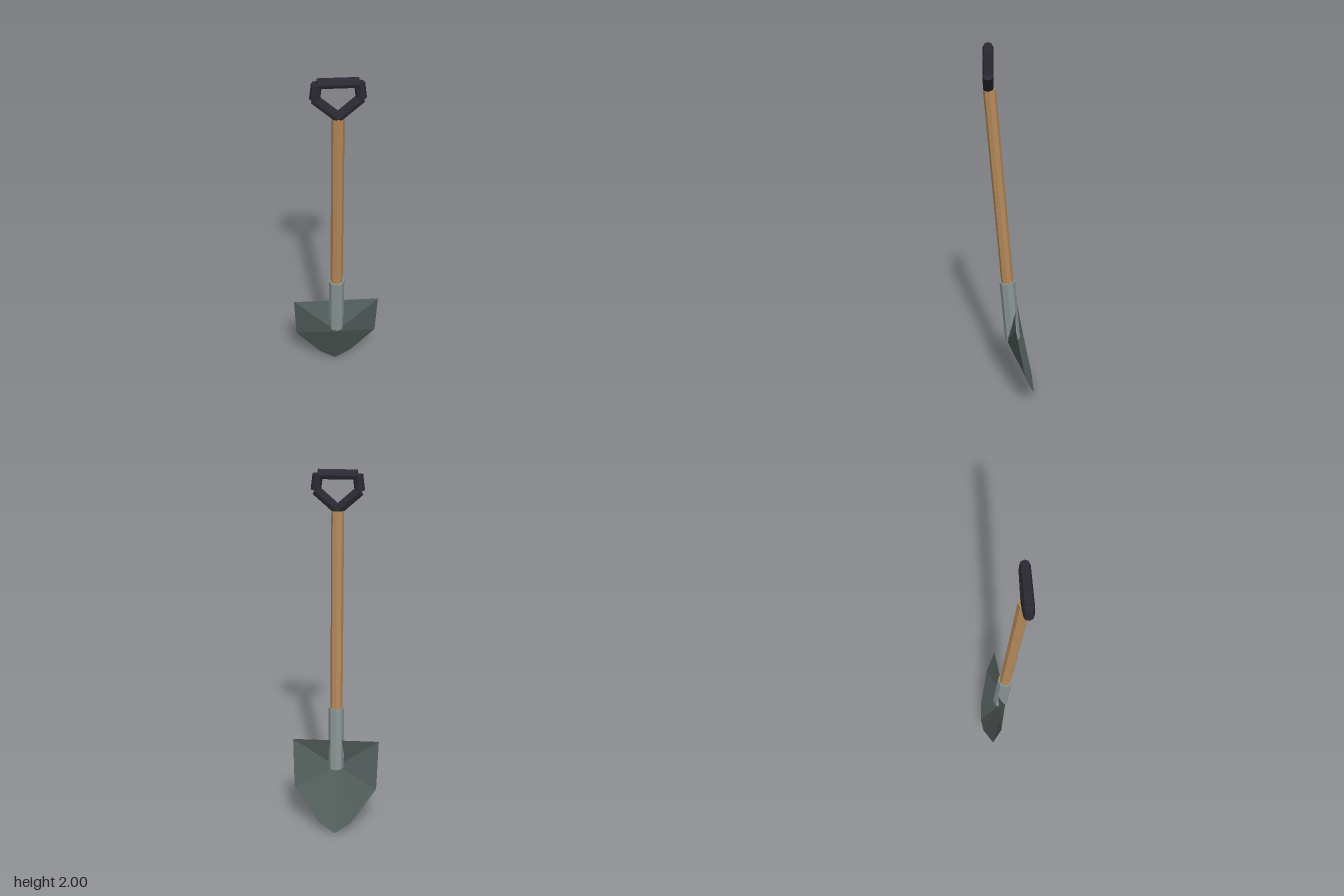
import * as THREE from 'three';

const flat = (name, color) => {
  const m = new THREE.MeshStandardMaterial({ color, flatShading: true });
  m.name = name;
  return m;
};

// Straight faceted rod between two points
function rod(name, a, b, radius, material) {
  const from = new THREE.Vector3(...a), to = new THREE.Vector3(...b);
  const dir = to.clone().sub(from);
  const mesh = new THREE.Mesh(new THREE.CylinderGeometry(radius, radius, dir.length(), 8), material);
  mesh.position.copy(from).add(to).multiplyScalar(0.5);
  mesh.quaternion.setFromUnitVectors(new THREE.Vector3(0, 1, 0), dir.normalize());
  mesh.name = name;
  return mesh;
}

export function createModel() {
  const wood = flat('wood', 0xb58a5a);
  const socketMetal = flat('socket metal', 0x8a9696);
  const bladeMetal = flat('blade metal', 0x545f5c);
  bladeMetal.side = THREE.DoubleSide;
  const gripBlack = flat('grip black', 0x2b2a34);

  const model = new THREE.Group();
  model.name = 'shovel';

  // Leaning shaft and the socket that holds it
  model.add(rod('shaft', [0, 0.6, 0.004], [0, 1.785, 0.101], 0.033, wood));
  model.add(rod('socket', [0, 0.355, -0.016], [0, 0.708, 0.013], 0.042, socketMetal));

  // D-shaped grip: crossbar, short sides and slanted arms
  const grip = new THREE.Group();
  grip.name = 'grip';
  const z = 0.107, r = 0.0265;
  grip.add(rod('crossbar', [-0.1, 1.9735, z], [0.1, 1.9735, z], r, gripBlack));
  for (const [s, side] of [[1, 'left'], [-1, 'right']]) {
    grip.add(rod(side + 'GripSide', [s * 0.101, 1.9735, z], [s * 0.111, 1.893, z], r, gripBlack));
    grip.add(rod(side + 'GripArm', [s * 0.111, 1.89, z], [0, 1.79, z], r, gripBlack));
  }
  model.add(grip);

  // Blade: thin sheet fanned around its raised centre
  const half = [[0.234, 0.53, -0.03], [0.225, 0.26, -0.078], [0.087, 0.063, -0.127]];
  const rim = [
    ...half.map(([x, y, d]) => [-x, y, d]),
    [0, 0, -0.136],
    ...half.slice().reverse(),
  ];
  const centre = [0, 0.34, 0.016];
  const points = [];
  rim.forEach((p, i) => points.push(...centre, ...p, ...rim[(i + 1) % rim.length]));
  const bladeGeometry = new THREE.BufferGeometry();
  bladeGeometry.setAttribute('position', new THREE.Float32BufferAttribute(points, 3));
  bladeGeometry.computeVertexNormals();
  const blade = new THREE.Mesh(bladeGeometry, bladeMetal);
  blade.name = 'blade';
  model.add(blade);

  return model;
}
